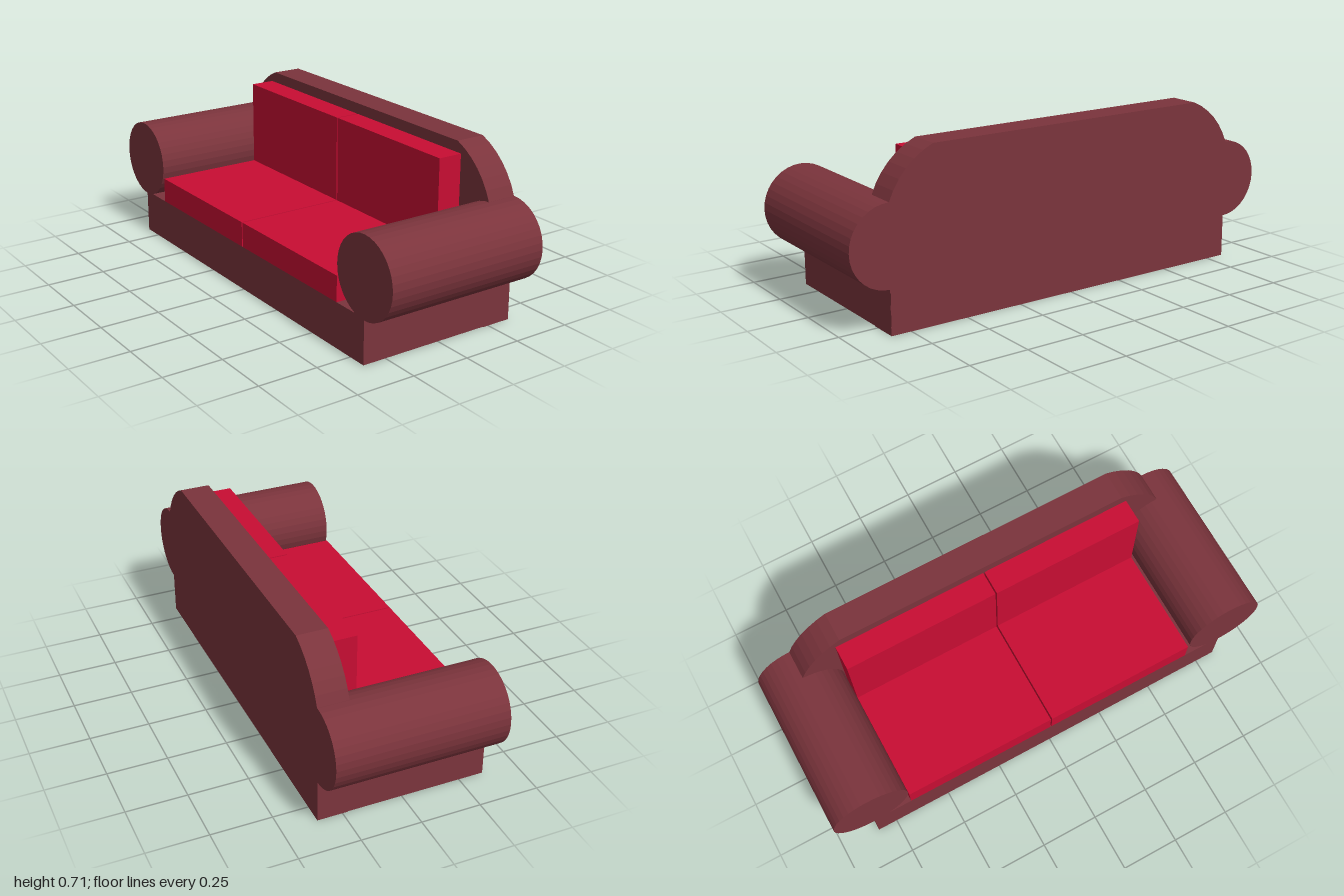
import * as THREE from 'three';

export function createModel() {
  const sofa = new THREE.Group();
  sofa.name = 'sofa';
  const upholstery = new THREE.MeshStandardMaterial({ color: 0x7b343c, flatShading: true });
  upholstery.name = 'maroon upholstery';
  const cushionRed = new THREE.MeshStandardMaterial({ color: 0xc80d33, flatShading: true });
  cushionRed.name = 'red cushion';

  const add = (name, geometry, material) => {
    const mesh = new THREE.Mesh(geometry, material);
    mesh.name = name;
    sofa.add(mesh);
    return mesh;
  };
  // box given by its lower and upper limits on each axis
  const box = (name, [x0, x1], [y0, y1], [z0, z1], material) =>
    add(name, new THREE.BoxGeometry(x1 - x0, y1 - y0, z1 - z0), material)
      .position.set((x0 + x1) / 2, (y0 + y1) / 2, (z0 + z1) / 2);

  // base plinth; the seat faces -x
  box('base', [-0.353, 0.352], [0.002, 0.19], [-0.835, 0.835], upholstery);

  // back panel with rounded shoulders, drawn across z and extruded along x
  const shoulder = [];
  for (let i = 0; i <= 6; i++) {
    const a = THREE.MathUtils.degToRad(20.5 + (47.5 * i) / 6);
    shoulder.push(new THREE.Vector2(0.514 + 0.34 * Math.cos(a), 0.392 + 0.34 * Math.sin(a)));
  }
  const mirrored = shoulder.map(p => new THREE.Vector2(-p.x, p.y)).reverse();
  const outline = new THREE.Shape([
    new THREE.Vector2(-0.835, 0), new THREE.Vector2(0.835, 0),
    ...shoulder, ...mirrored,
  ]);
  const backGeometry = new THREE.ExtrudeGeometry(outline, { depth: 0.127, bevelEnabled: false });
  backGeometry.rotateY(Math.PI / 2);
  add('backPanel', backGeometry, upholstery).position.x = 0.227;

  // a rolled arm and a pair of cushions on each side
  for (const [side, s] of [['left', -1], ['right', 1]]) {
    const arm = new THREE.CylinderGeometry(0.166, 0.166, 0.708, 36);
    arm.rotateZ(Math.PI / 2);
    add(side + 'Arm', arm, upholstery).position.set(0, 0.348, s * 0.834);

    const span = [s * 0.003, s * 0.665].sort((a, b) => a - b);
    box(side + 'SeatCushion', [-0.353, 0.225], [0.19, 0.297], span, cushionRed);
    box(side + 'BackCushion', [0.12, 0.225], [0.297, 0.662], span, cushionRed);
  }
  return sofa;
}
